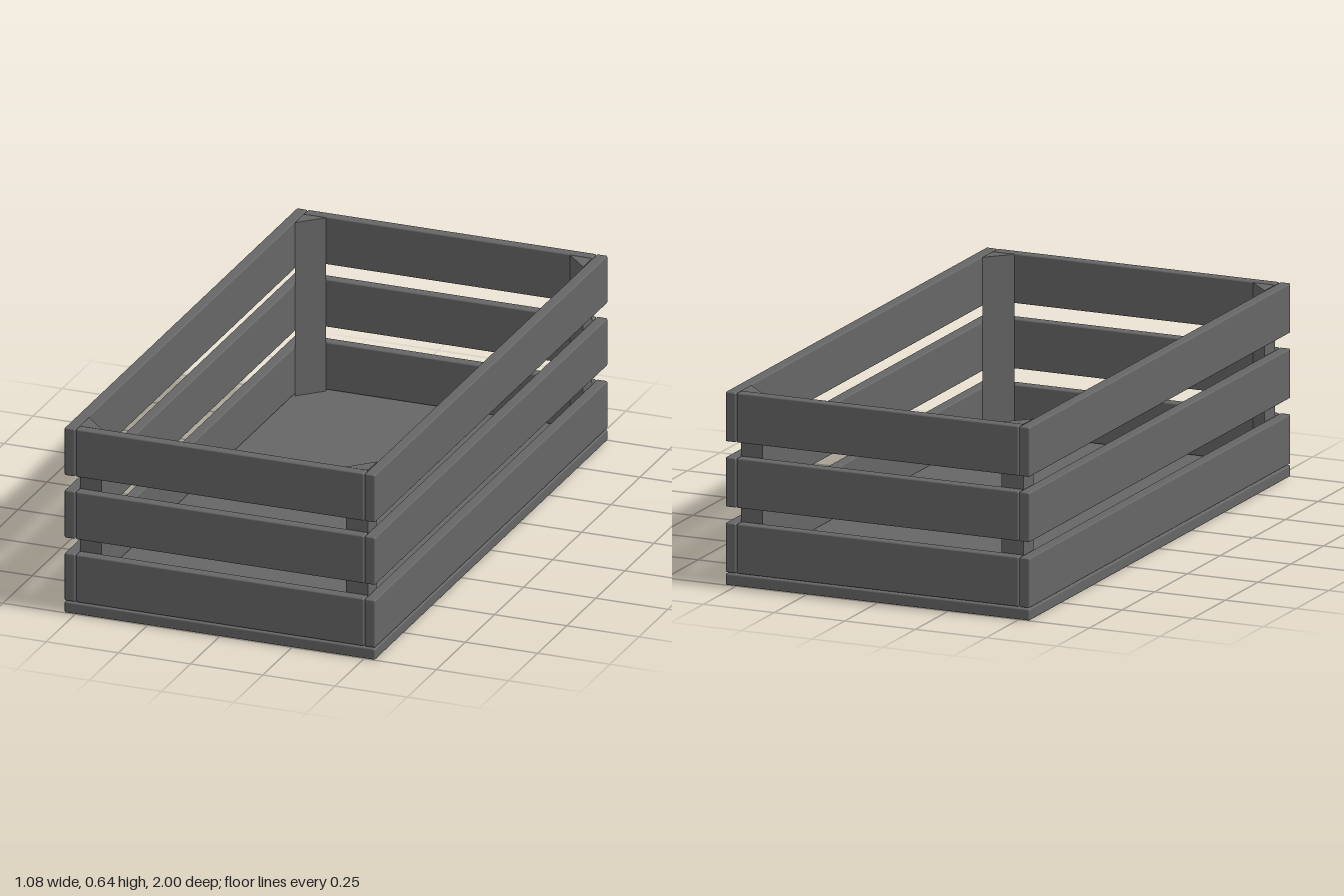
import * as THREE from 'three';
import { RoundedBoxGeometry } from 'three/addons/geometries/RoundedBoxGeometry.js';

export function createModel() {
  const crate = new THREE.Group();
  crate.name = 'slattedCrate';
  const wood = new THREE.MeshStandardMaterial({ color: 0x666666 });
  wood.name = 'greyWood';

  const halfX = 0.538, halfZ = 1, height = 0.642;
  const board = 0.037, slatHeight = 0.165, gap = 0.002;

  // Board with softly eased edges, placed by its centre
  function addBoard(name, w, h, d, x, y, z) {
    const mesh = new THREE.Mesh(new RoundedBoxGeometry(w, h, d, 2, 0.005), wood);
    mesh.name = name;
    mesh.position.set(x, y, z);
    crate.add(mesh);
  }

  // Solid bottom
  addBoard('bottom', halfX * 2, 0.038, halfZ * 2, 0, 0.019, 0);

  // Three rows of slats around the sides
  const endWidth = 2 * (halfX - board - gap);
  [0.042, 0.26, 0.477].forEach((base, row) => {
    const y = base + slatHeight / 2;
    for (const s of [1, -1]) {
      addBoard(`${s > 0 ? 'left' : 'right'}Slat${row + 1}`,
        board, slatHeight, halfZ * 2, s * (halfX - board / 2), y, 0);
      addBoard(`${s > 0 ? 'front' : 'back'}Slat${row + 1}`,
        endWidth, slatHeight, board, 0, y, s * (halfZ - board / 2));
    }
  });

  // Triangular posts fill the four inner corners
  const leg = 0.077, bottom = 0.038;
  const cornerX = endWidth / 2, cornerZ = halfZ - board - 0.001;
  for (const sx of [1, -1]) {
    for (const sz of [1, -1]) {
      const outline = new THREE.Shape([
        new THREE.Vector2(sx * cornerX, -sz * cornerZ),
        new THREE.Vector2(sx * (cornerX - leg), -sz * cornerZ),
        new THREE.Vector2(sx * cornerX, -sz * (cornerZ - leg)),
      ]);
      const geometry = new THREE.ExtrudeGeometry(outline, {
        depth: height - 0.002 - bottom, bevelEnabled: false,
      });
      geometry.rotateX(-Math.PI / 2);
      const post = new THREE.Mesh(geometry, wood);
      post.name = `${sz > 0 ? 'front' : 'back'}${sx > 0 ? 'Left' : 'Right'}Post`;
      post.position.y = bottom;
      crate.add(post);
    }
  }
  return crate;
}
